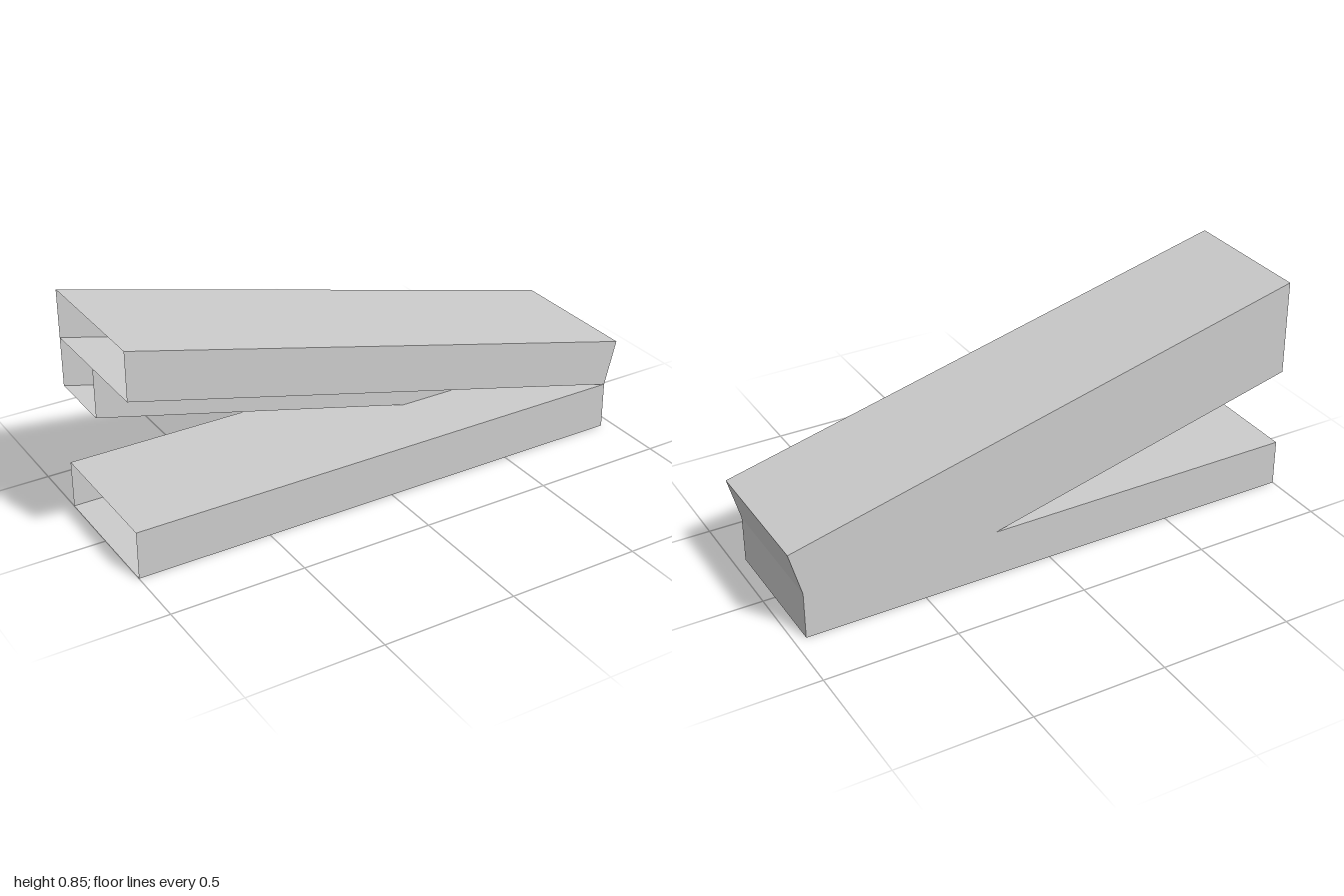
import * as THREE from 'three';

const material = new THREE.MeshStandardMaterial({
  color: 0xcccccc, flatShading: true, side: THREE.DoubleSide,
});

const FRONT = 0.265, MIDDLE = 0, BACK = -0.265;

// Key points of the side profile, as [x, y]
const P = {
  baseOpenLow: [-1, 0], baseHingeLow: [0.955, 0],
  baseOpenTop: [-1, 0.18], hinge: [0.955, 0.18],
  armOpenTop: [-1, 0.85], armHingeTop: [1, 0.35],
  armOpenLow: [-1, 0.67],
  ribOpenLow: [-1, 0.485], ribFoot: [0.22, 0.18],
};

export function createModel() {
  const model = new THREE.Group();

  const add = (name, geometry) => {
    geometry.computeVertexNormals();
    const mesh = new THREE.Mesh(geometry, material);
    mesh.name = name;
    model.add(mesh);
  };

  // Upright sheet with the given outline at depth z
  const wall = (name, points, z, facesBack = false) => {
    const shape = new THREE.Shape(points.map(([x, y]) => new THREE.Vector2(x, y)));
    const geometry = new THREE.ShapeGeometry(shape);
    geometry.translate(0, 0, z);
    if (facesBack) geometry.index.array.reverse();
    add(name, geometry);
  };

  // Sheet spanning z0..z1 along profile edge a-b, facing left of its direction
  const sheet = (name, a, b, z0 = BACK, z1 = FRONT) => {
    const geometry = new THREE.BufferGeometry();
    geometry.setAttribute('position', new THREE.Float32BufferAttribute(
      [...a, z1, ...b, z1, ...b, z0, ...a, z0], 3));
    geometry.setIndex([0, 1, 2, 0, 2, 3]);
    add(name, geometry);
  };

  // Base channel, open at the left-hand end of the profile
  sheet('baseBottom', P.baseHingeLow, P.baseOpenLow);
  sheet('baseTop', P.baseOpenTop, P.hinge);
  sheet('baseEnd', P.hinge, P.baseHingeLow);
  wall('baseFrontWall', [P.baseOpenLow, P.baseHingeLow, P.hinge, P.baseOpenTop], FRONT);

  // Sloping arm channel, full width
  sheet('armTop', P.armOpenTop, P.armHingeTop);
  sheet('armFloor', P.hinge, P.armOpenLow);
  sheet('armEnd', P.armHingeTop, P.hinge);
  wall('armFrontWall', [P.armOpenLow, P.hinge, P.armHingeTop, P.armOpenTop], FRONT);

  // Half-width channel under the back of the arm
  sheet('ribFloor', P.ribFoot, P.ribOpenLow, BACK, MIDDLE);
  wall('ribInnerWall', [P.ribOpenLow, P.ribFoot, P.hinge, P.armOpenLow], MIDDLE);

  // One continuous back wall joins base, rib and arm
  wall('backWall', [
    P.baseOpenLow, P.baseHingeLow, P.hinge, P.armHingeTop,
    P.armOpenTop, P.ribOpenLow, P.ribFoot, P.baseOpenTop,
  ], BACK, true);

  return model;
}
